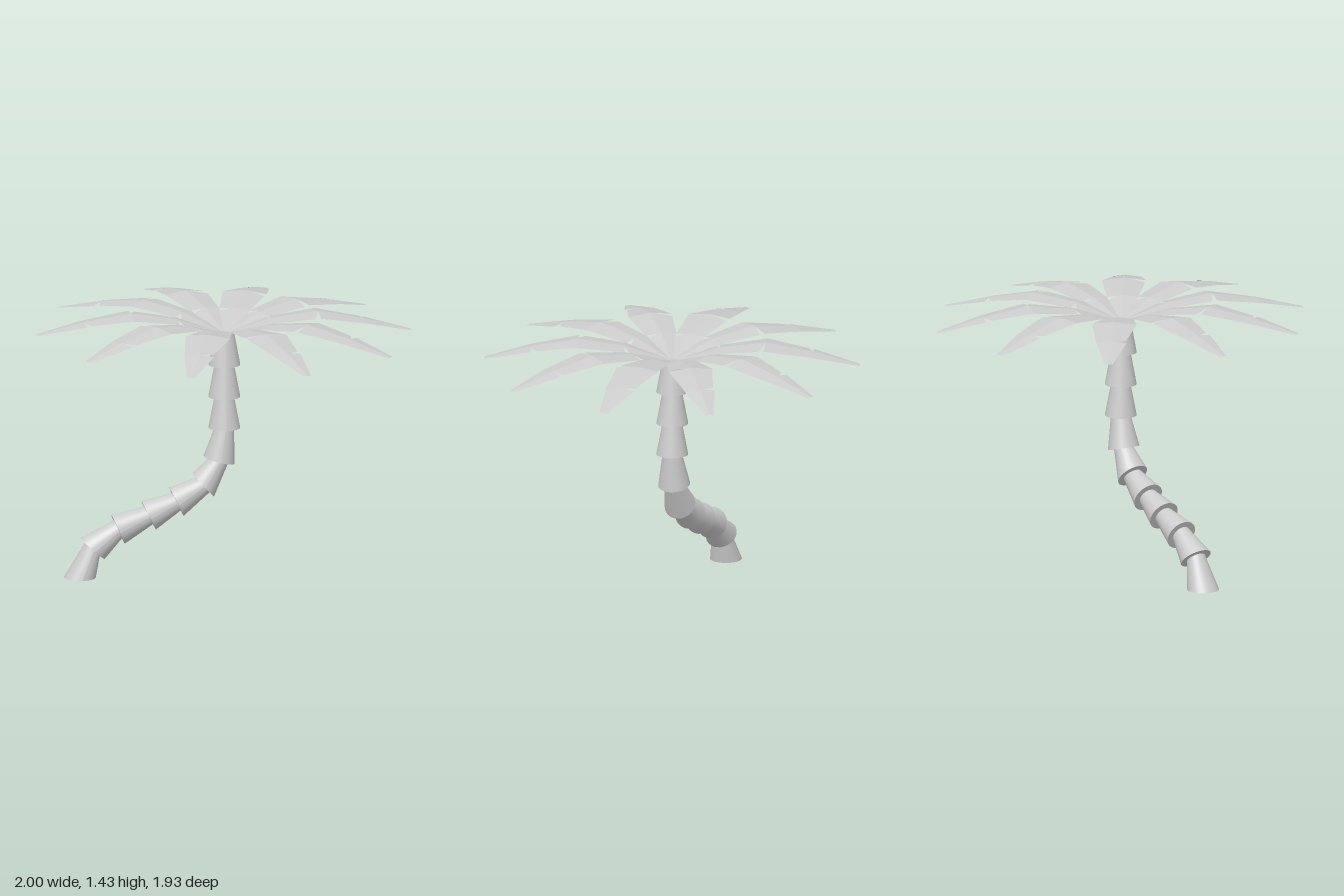
import * as THREE from 'three';

const grey = new THREE.MeshStandardMaterial({ color: 0xcccccc });
const leafGrey = new THREE.MeshStandardMaterial({ color: 0xcccccc, side: THREE.DoubleSide, flatShading: true });

// Trunk joints: x, y, lean towards +x in degrees
const joints = [
  [-0.775, 0, 0], [-0.706, 0.155, 42], [-0.57, 0.254, 66], [-0.406, 0.324, 64],
  [-0.257, 0.393, 64], [-0.112, 0.481, 49], [-0.028, 0.615, 15],
  [0, 0.79, 0], [0, 0.96, 0], [0, 1.135, 0], [0, 1.312, 0],
];

// Tapered ring whose lower and upper rims follow the lean of their joints
function trunkSegment(a, b) {
  const geo = new THREE.CylinderGeometry(0.052, 0.085, 1, 28);
  const pos = geo.attributes.position;
  for (let i = 0; i < pos.count; i++) {
    const [x, y, lean] = pos.getY(i) > 0 ? b : a;
    const t = THREE.MathUtils.degToRad(lean);
    const r = pos.getX(i);
    pos.setXYZ(i, x + r * Math.cos(t), y - r * Math.sin(t), pos.getZ(i));
  }
  geo.computeVertexNormals();
  return new THREE.Mesh(geo, grey);
}

// Leaf stations along its length: distance, midrib height, half width
const stations = [
  [0, 0, 0], [0.25, 0.08, 0.083], [0.5, 0.115, 0.118], [0.75, 0.07, 0.08], [1, 0.005, 0.02],
];

// Arched leaf along +x, with a wedge cut at alternating stations on each side
function leafGeometry() {
  const verts = [];
  for (const side of [-1, 1]) {
    for (let i = 0; i < 4; i++) {
      const [r0, h0, w0] = stations[i];
      const [r1, h1, w1] = stations[i + 1];
      const point = (r, w) => {
        const h = h0 + (h1 - h0) * (r - r0) / (r1 - r0);
        return [r, h - 0.13 * w, side * w];
      };
      const cut = i < 3 && (side < 0) === (i % 2 === 0);
      const outline = [point(r0, 0), point(r1, 0)];
      if (cut) outline.push(point(r1, 0.018), point(r1 - 0.03, w1 - 0.005));
      else outline.push(point(r1, w1));
      if (i > 0) outline.push(point(r0, w0));
      for (let k = 1; k < outline.length - 1; k++) {
        const [p, q] = side < 0 ? [k, k + 1] : [k + 1, k];
        verts.push(...outline[0], ...outline[p], ...outline[q]);
      }
    }
  }
  const geo = new THREE.BufferGeometry();
  geo.setAttribute('position', new THREE.Float32BufferAttribute(verts, 3));
  geo.computeVertexNormals();
  return geo;
}

export function createModel() {
  const model = new THREE.Group();
  model.name = 'palmTree';

  const trunk = new THREE.Group();
  trunk.name = 'trunk';
  for (let i = 0; i < joints.length - 1; i++) {
    const segment = trunkSegment(joints[i], joints[i + 1]);
    segment.name = 'trunkSegment';
    trunk.add(segment);
  }
  model.add(trunk);

  // Crown of leaves, leaning slightly
  const crown = new THREE.Group();
  crown.name = 'crown';
  crown.position.y = 1.305;
  crown.rotation.z = -0.02;
  const geo = leafGeometry();
  for (const angle of [0, 33, 69, 105.5, 142, 178.5, 215, 251, 287.5, 323.5]) {
    const leaf = new THREE.Mesh(geo, leafGrey);
    leaf.name = 'leaf';
    leaf.rotation.y = THREE.MathUtils.degToRad(angle);
    crown.add(leaf);
  }
  model.add(crown);
  return model;
}
